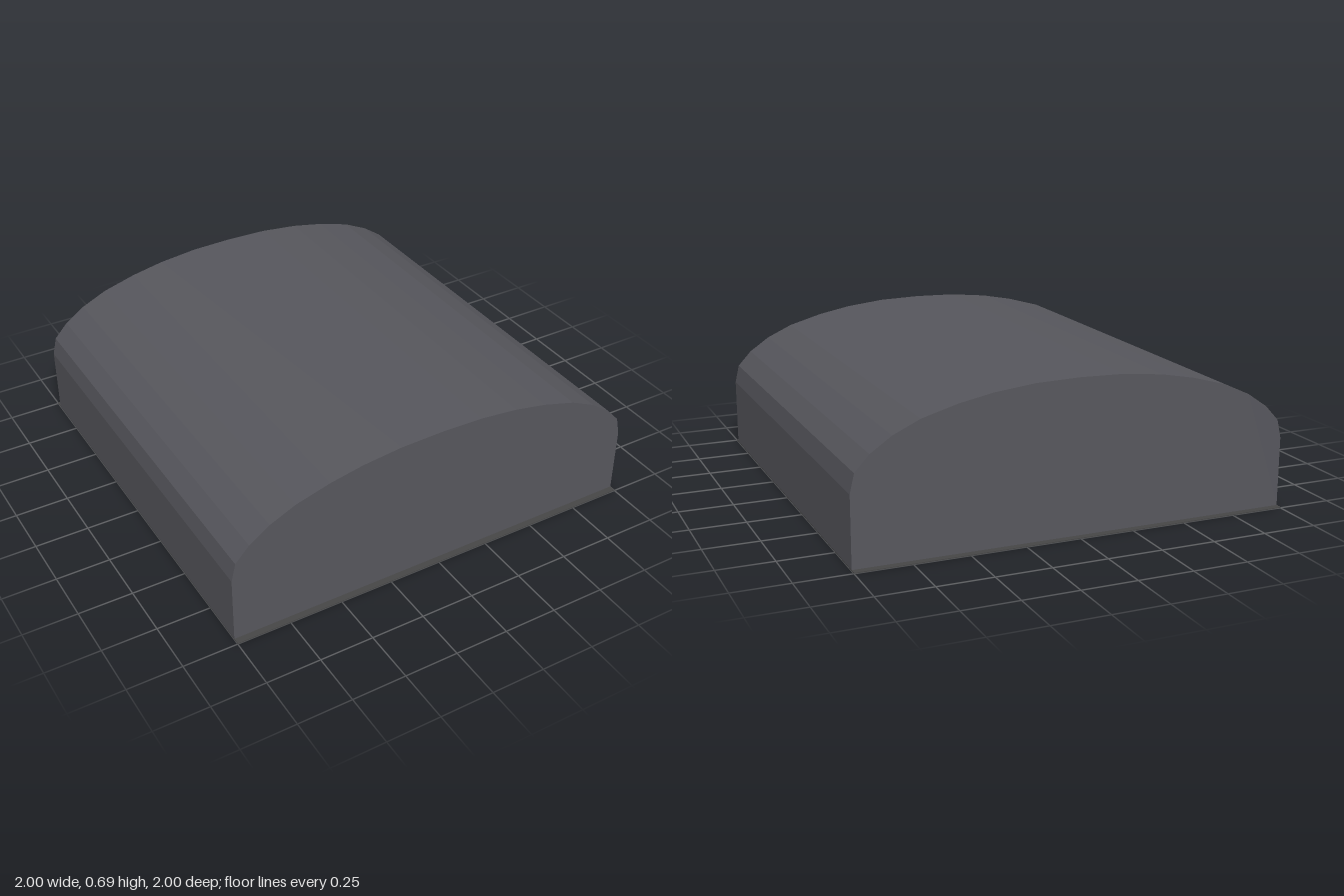
import * as THREE from 'three';

const PLATE = 0.004;   // base plate thickness
const END = 0.97;      // half depth of the cover

// right half of the arched cross-section, from the crown outwards
const ARCH = [[0.2, 0.69], [0.385, 0.67], [0.54, 0.64], [0.7, 0.595],
  [0.82, 0.54], [0.915, 0.475], [0.98, 0.405], [1, 0.32], [1, PLATE]];

// faceted sheet that follows the profile from front to back
function sheetGeometry(profile) {
  const pos = [];
  for (let i = 0; i < profile.length - 1; i++) {
    const [x0, y0] = profile[i];
    const [x1, y1] = profile[i + 1];
    const a = [x0, y0, END], b = [x0, y0, -END], c = [x1, y1, -END], d = [x1, y1, END];
    pos.push(...a, ...b, ...c, ...a, ...c, ...d);
  }
  const geo = new THREE.BufferGeometry();
  geo.setAttribute('position', new THREE.Float32BufferAttribute(pos, 3));
  geo.computeVertexNormals();
  return geo;
}

export function createModel() {
  const group = new THREE.Group();
  const coverMat = new THREE.MeshStandardMaterial({ color: 0x56565c, side: THREE.DoubleSide });
  coverMat.name = 'slate grey';
  const plateMat = new THREE.MeshStandardMaterial({ color: 0x464646 });
  plateMat.name = 'dark grey';

  const add = (name, geo, mat) => {
    const mesh = new THREE.Mesh(geo, mat);
    mesh.name = name;
    group.add(mesh);
    return mesh;
  };

  // hollow arched cover, open underneath
  const profile = [...ARCH].reverse().concat([[0, 0.695]], ARCH.map(([x, y]) => [-x, y]));
  add('archedCover', sheetGeometry(profile), coverMat);

  // flat end walls
  const endShape = new THREE.Shape(profile.map(([x, y]) => new THREE.Vector2(x, y)));
  const endGeo = new THREE.ShapeGeometry(endShape);
  add('frontWall', endGeo, coverMat).position.z = END;
  const back = add('backWall', endGeo, coverMat);
  back.position.z = -END;
  back.rotation.y = Math.PI;

  // base plate with a large opening and small mounting holes: x, z, radius
  const holes = [[0, 0.19, 0.455], [-0.02, -0.53, 0.08], [-0.32, -0.21, 0.05],
    [-0.71, -0.3, 0.05], [-0.84, -0.33, 0.045], [-0.84, 0.02, 0.02],
    [-0.84, 0.38, 0.03], [-0.84, 0.73, 0.04], [0.84, 0.72, 0.035],
    [0.84, 0, 0.025], [0.69, -0.35, 0.015], [-0.84, -0.66, 0.012]];
  const plate = new THREE.Shape();
  plate.moveTo(-1, -1).lineTo(1, -1).lineTo(1, 1).lineTo(-1, 1).closePath();
  for (const [x, z, r] of holes) {
    plate.holes.push(new THREE.Path().absarc(x, -z, r, 0, Math.PI * 2, true));
  }
  const plateGeo = new THREE.ExtrudeGeometry(plate, { depth: PLATE, bevelEnabled: false, curveSegments: 24 });
  plateGeo.rotateX(-Math.PI / 2);
  add('basePlate', plateGeo, plateMat);

  return group;
}
